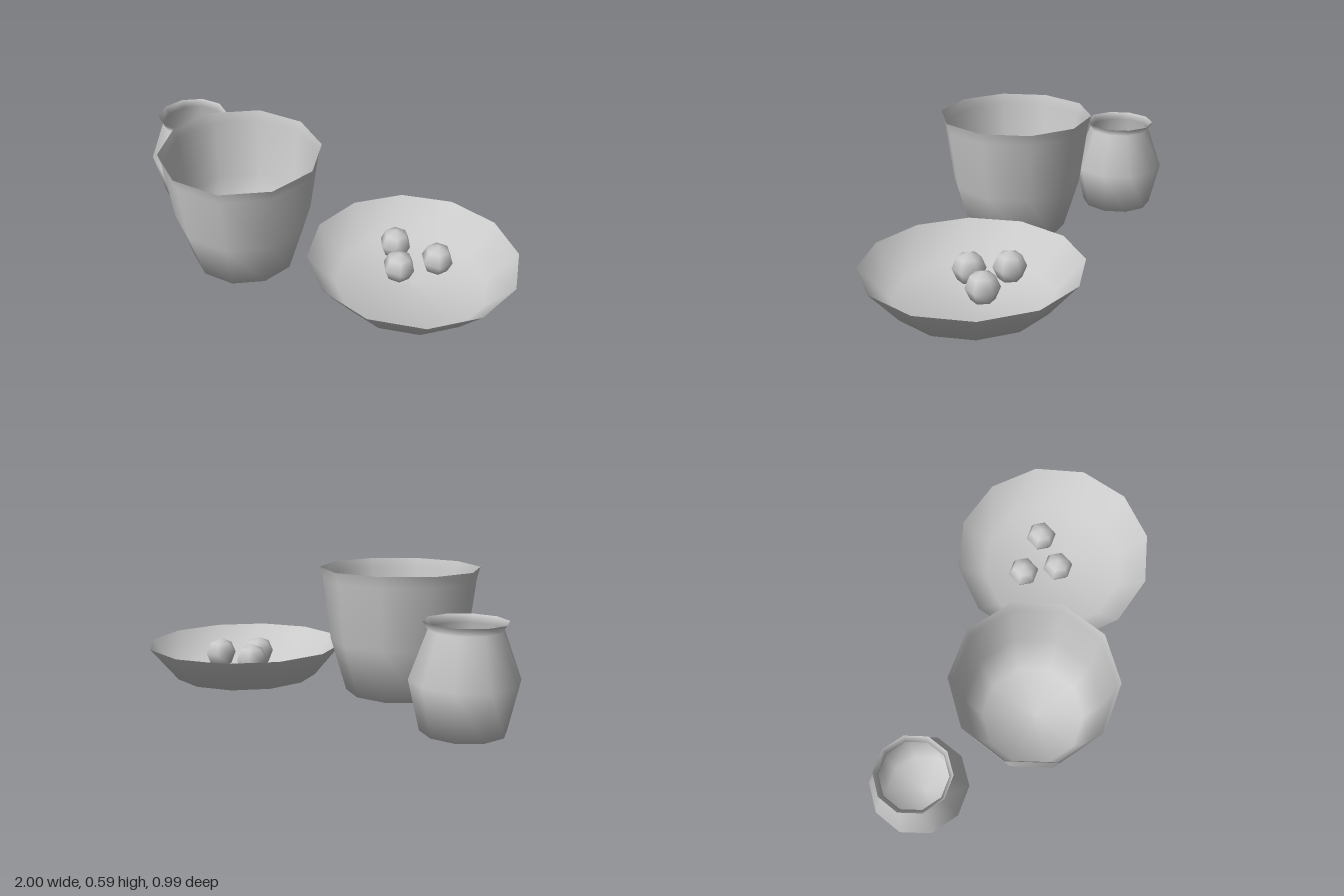
import * as THREE from 'three';

const material = new THREE.MeshStandardMaterial({ color: 0xcccccc, side: THREE.DoubleSide });

// Thin-walled turned vessel; profile is [radius, height] from base centre to rim
function vessel(name, profile, sides, x, z) {
  const points = profile.map(([r, y]) => new THREE.Vector2(r, y));
  const mesh = new THREE.Mesh(new THREE.LatheGeometry(points, sides, Math.PI / 2), material);
  mesh.name = name;
  mesh.position.set(x, 0, z);
  return mesh;
}

export function createModel() {
  const group = new THREE.Group();
  group.name = 'potteryGroup';

  // Tall open pot
  group.add(vessel('pot', [
    [0, 0.003], [0.242, 0.02], [0.313, 0.26], [0.349, 0.54], [0.363, 0.59],
  ], 10, -0.26, 0.152));

  // Small jar with a pinched neck and flared lip
  group.add(vessel('jar', [
    [0, 0.003], [0.175, 0.012], [0.223, 0.22], [0.15, 0.42], [0.17, 0.453],
  ], 10, -0.777, -0.2));

  // Wide shallow bowl
  group.add(vessel('bowl', [
    [0, 0.004], [0.345, 0.02], [0.475, 0.177],
  ], 12, 0.522, -0.022));

  // Three balls in the bowl
  const ball = new THREE.SphereGeometry(0.074, 6, 4);
  [[0.39, -0.13], [0.605, -0.113], [0.475, 0.02]].forEach(([x, z], i) => {
    const mesh = new THREE.Mesh(ball, material);
    mesh.name = `ball${i + 1}`;
    mesh.position.set(x, 0.126, z);
    group.add(mesh);
  });

  return group;
}
